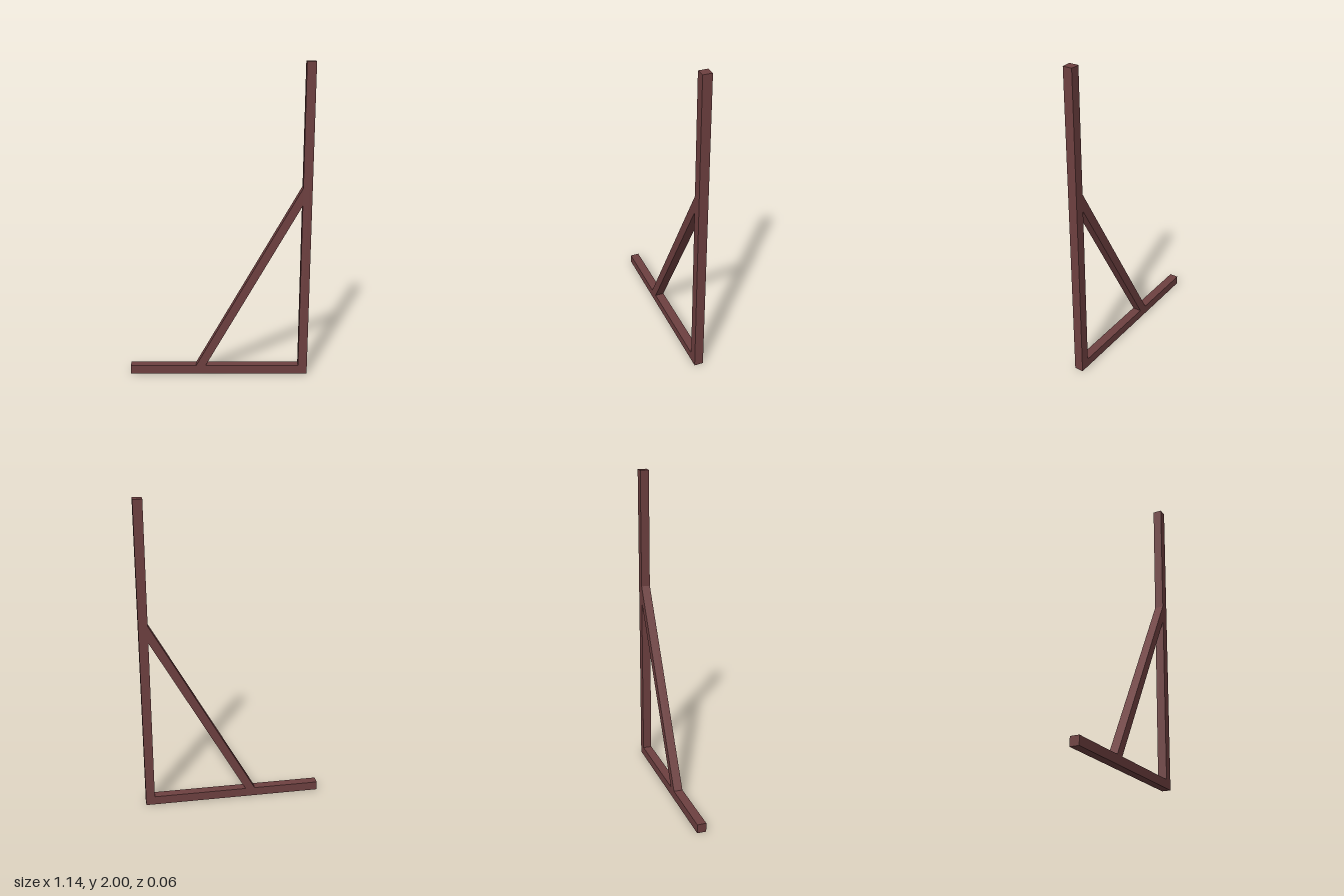
import * as THREE from 'three';

const T = 0.057; // beam thickness
const X = 0.57; // half width of the frame

export function createModel() {
  const group = new THREE.Group();
  const wood = new THREE.MeshStandardMaterial({ color: 0x6e4040 });
  wood.name = 'reddish brown wood';

  // Extrude a flat outline to the beam thickness, centred on z = 0
  function addBeam(name, points) {
    const shape = new THREE.Shape(points.map(([x, y]) => new THREE.Vector2(x, y)));
    const geometry = new THREE.ExtrudeGeometry(shape, { depth: T, bevelEnabled: false });
    geometry.translate(0, 0, -T / 2);
    const mesh = new THREE.Mesh(geometry, wood);
    mesh.name = name;
    group.add(mesh);
  }

  const inner = X - T; // inner face of the post

  // Upright post
  addBeam('post', [[inner, 0], [X, 0], [X, 2], [inner, 2]]);

  // Floor beam, butting against the post
  addBeam('base', [[-X, 0], [inner, 0], [inner, T], [-X, T]]);

  // Diagonal brace, mitred to the base and the post
  addBeam('brace', [[-0.147, T], [-0.086, T], [inner, 1.13], [inner, 1.24]]);

  return group;
}
